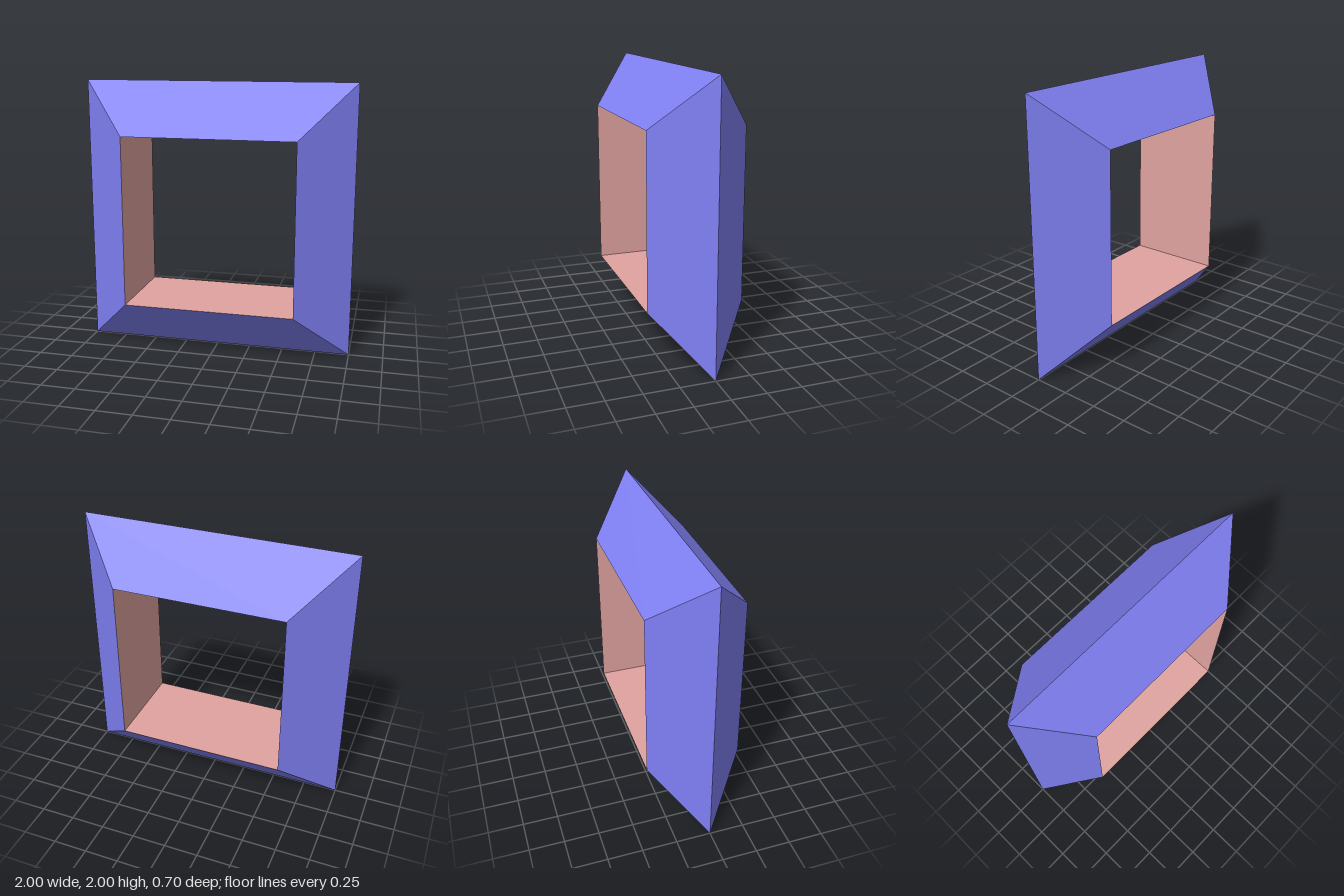
import * as THREE from 'three';

const OUTER = 1;      // half width at the sharp outer rim
const INNER = 0.623;  // half width of the square opening
const DEPTH = 0.35;   // half depth at the opening

// Revolve a [half width, z] profile in four steps to make a square ring facing +z.
function squareRing(name, profile, color) {
  const points = profile.map(([half, z]) => new THREE.Vector2(half * Math.SQRT2, z));
  const geometry = new THREE.LatheGeometry(points, 4, Math.PI / 4);
  geometry.rotateX(Math.PI / 2);
  const material = new THREE.MeshStandardMaterial({ color, flatShading: true });
  const mesh = new THREE.Mesh(geometry, material);
  mesh.name = name;
  mesh.position.y = OUTER;
  return mesh;
}

export function createModel() {
  const group = new THREE.Group();
  group.name = 'squareFrame';

  // Sloping front and back faces meeting at the outer rim
  group.add(squareRing('outerBevels', [[INNER, -DEPTH], [OUTER, 0], [INNER, DEPTH]], 0x8080f5));

  // Flat walls of the opening, facing the centre
  group.add(squareRing('openingWalls', [[INNER, DEPTH], [INNER, -DEPTH]], 0xe0a3a0));

  return group;
}
